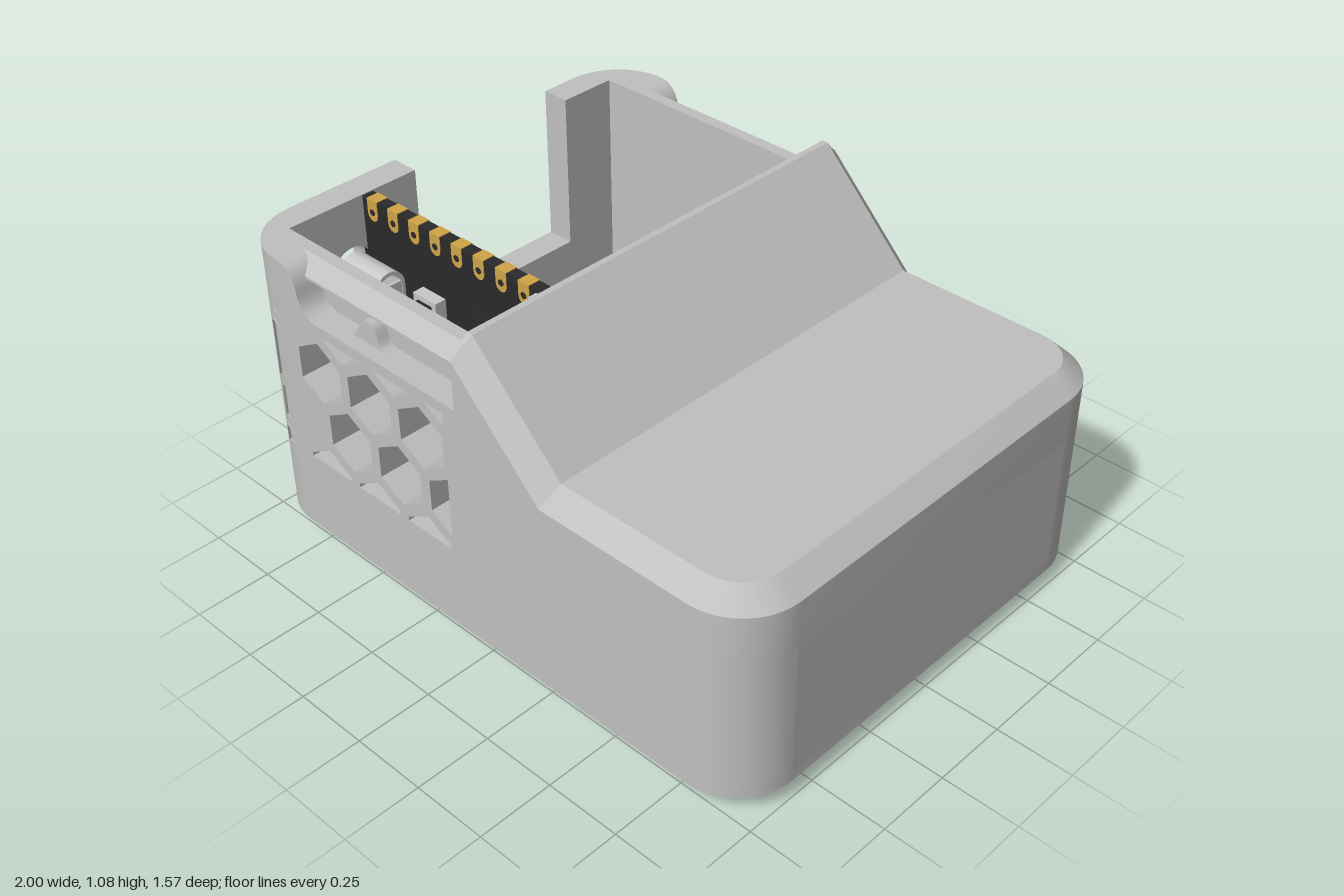
import * as THREE from 'three';
import { toCreasedNormals } from 'three/addons/utils/BufferGeometryUtils.js';

const material = (name, color) => {
  const m = new THREE.MeshStandardMaterial({ color, side: THREE.DoubleSide });
  m.name = name;
  return m;
};
const shapeOf = (pts) => new THREE.Shape(pts.map(([x, y]) => new THREE.Vector2(x, y)));
const extrude = (shape, depth) =>
  toCreasedNormals(new THREE.ExtrudeGeometry(shape, { depth, bevelEnabled: false, curveSegments: 12 }), 0.5);

// Outer size, corner radius, inner cavity and main heights
const X = 1, Z = 0.787, R = 0.2, IX = 0.905, IZ = 0.655;
const SEAM = 0.55, TOP = 1.013, LEDGE = 0.86, CH = 0.065, STEPS = 10;

// Skins equal-length loops of points; extra quads (indices into all points) close the ends
function loft(loops, quads) {
  const n = loops[0].length, index = [];
  const quad = (a, b, c, d) => index.push(a, b, c, a, c, d);
  for (let i = 0; i < loops.length - 1; i++)
    for (let j = 0; j < n; j++) {
      const k = (j + 1) % n;
      quad(i * n + j, i * n + k, (i + 1) * n + k, (i + 1) * n + j);
    }
  quads.forEach((q) => quad(...q));
  const g = new THREE.BufferGeometry();
  g.setAttribute('position', new THREE.Float32BufferAttribute(loops.flat(2), 3));
  g.setIndex(index);
  return toCreasedNormals(g.toNonIndexed(), 0.5);
}

// Rounded rectangle loop at height y, pulled in by inset
function footprint(inset, y) {
  const pts = [];
  [[1, 1], [-1, 1], [-1, -1], [1, -1]].forEach(([sx, sz], q) => {
    for (let i = 0; i <= STEPS; i++) {
      const a = (q + i / STEPS) * Math.PI / 2, r = R - inset;
      pts.push([sx * (X - R) + r * Math.cos(a), y, sz * (Z - R) + r * Math.sin(a)]);
    }
  });
  return pts;
}

// Clips a convex polygon to an upright rectangle
function clip(poly, x0, y0, x1, y1) {
  for (const [axis, lim, s] of [[0, x0, 1], [0, x1, -1], [1, y0, 1], [1, y1, -1]]) {
    const out = [];
    poly.forEach((p, i) => {
      const q = poly[(i + 1) % poly.length];
      const dp = s * (p[axis] - lim), dq = s * (q[axis] - lim);
      if (dp >= 0) out.push(p);
      if (dp * dq < 0) {
        const t = dp / (dp - dq);
        out.push([p[0] + (q[0] - p[0]) * t, p[1] + (q[1] - p[1]) * t]);
      }
    });
    poly = out;
  }
  return poly;
}

// Long wall with sloping shoulder, low ledge and curved post
function longWall(window) {
  const s = new THREE.Shape();
  s.moveTo(-0.8, CH);
  s.lineTo(0.8, CH);
  if (window) [[0.8, 0.36], [0.31, 0.36], [0.31, SEAM]].forEach((p) => s.lineTo(...p));
  else s.lineTo(0.8, SEAM);
  s.lineTo(0.26, SEAM);
  s.lineTo(-0.05, LEDGE);
  s.lineTo(-0.64, LEDGE);
  s.quadraticCurveTo(-0.7, LEDGE, -0.715, 0.93);
  s.quadraticCurveTo(-0.73, TOP, -0.8, TOP);
  return s;
}

function addHoneycomb(shape) {
  const pitch = 0.222, r = 0.106;
  for (let row = 0; row < 4; row++)
    for (let col = 0; col < 6; col++) {
      const cx = -0.979 + col * pitch + (row % 2 ? 0 : pitch / 2), cy = 0.305 + row * 0.192;
      const hex = [...Array(6).keys()].map((i) => {
        const a = (i + 0.5) * Math.PI / 3;
        return [cx + r * Math.cos(a), cy + r * Math.sin(a)];
      });
      const cut = clip(hex, -0.855, 0.345, -0.1, 0.825);
      if (cut.length > 2) shape.holes.push(shapeOf(cut));
    }
}

// Lid: cross-sections running along x, rounded at the far end
function lidGeometry() {
  const station = (xo, w, xt, wt, part, edge, top, ceil, xp = xo) => {
    const xi = Math.min(xp, IX), wi = Math.min(IZ, w - 0.03);
    const half = [[xp, part, w], [xo, edge, w], [xt, top, wt]];
    const inner = [[xi, part, wi], [xi, ceil, wi]];
    const flip = ([x, y, z]) => [x, y, -z];
    return [...half, ...half.map(flip).reverse(), ...inner.map(flip), ...[...inner].reverse()];
  };
  const loops = [
    station(-0.05, Z, -0.05, Z - CH, 0.86, 1.02, 1.08, 0.93),
    station(-0.03, Z, -0.03, Z - CH, 0.84, 1.0, 1.08, 0.91),
    station(0.27, Z, 0.29, Z - CH, SEAM, 0.7, 0.76, 0.63, 0.26),
  ];
  for (let i = 0; i <= STEPS; i++) {
    const a = i / STEPS * Math.PI / 2, c = Math.cos(a), s = Math.sin(a), r = R - CH;
    loops.push(station(0.8 + R * s, Z - R + R * c, 0.8 + r * s, Z - R + r * c, SEAM, 0.7, 0.76, 0.63));
  }
  const e = (loops.length - 1) * 10;
  return loft(loops, [
    [0, 1, 8, 9], [1, 2, 8, 8], [2, 3, 7, 8], [3, 4, 7, 7], [4, 5, 6, 7],
    [e, e + 1, e + 4, e + 5], [e + 1, e + 2, e + 3, e + 4], [e + 6, e + 7, e + 8, e + 9], [e + 5, e + 6, e + 9, e],
  ]);
}

export function createModel() {
  const model = new THREE.Group();
  model.name = 'electronicsCase';
  const grey = material('grey plastic', 0xc0c0c0), black = material('black board', 0x2a2a2a);
  const gold = material('gold pads', 0xd0a548), silver = material('silver metal', 0xc8c8c8);
  const add = (name, geo, mat, x = 0, y = 0, z = 0) => {
    const m = new THREE.Mesh(geo, mat);
    m.name = name;
    m.position.set(x, y, z);
    model.add(m);
    return m;
  };
  const box = (name, mat, w, h, d, x, y, z) => add(name, new THREE.BoxGeometry(w, h, d), mat, x, y, z);

  // Floor with chamfered underside
  const n = 4 * (STEPS + 1), caps = [];
  for (const o of [0, 2 * n])
    for (let i = 0; i < n / 2 - 1; i++) caps.push([o + i, o + i + 1, o + n - 2 - i, o + n - 1 - i]);
  add('floor', loft([footprint(CH, 0), footprint(0, CH), footprint(0, 0.1)], caps), grey);

  // Front and back walls
  const front = longWall(false);
  addHoneycomb(front);
  add('frontWall', extrude(front, Z - IZ), grey, 0, 0, IZ);
  add('backWall', extrude(longWall(true), Z - IZ), grey, 0, 0, -Z);

  // Rounded corner posts
  for (const sx of [-1, 1])
    for (const sz of [-1, 1]) {
      const pts = [[0.8, IZ], [IX, IZ], [IX, Z - R]];
      for (let i = 0; i <= STEPS; i++) {
        const a = i / STEPS * Math.PI / 2;
        pts.push([0.8 + R * Math.cos(a), Z - R + R * Math.sin(a)]);
      }
      const g = extrude(shapeOf(pts.map(([x, z]) => [sx * x, -sz * z])), (sx < 0 ? TOP : SEAM) - CH);
      add('cornerPost', g.rotateX(-Math.PI / 2), grey, 0, CH, 0);
    }

  // Short walls: plain one, and one with a notch and connector slot
  const w = Z - R;
  box('shortWall', grey, X - IX, SEAM - CH, 2 * w, (X + IX) / 2, (SEAM + CH) / 2, 0);
  const notched = shapeOf([[-w, CH], [w, CH], [w, TOP], [0.18, TOP], [0.18, 0.48], [-0.455, 0.48], [-0.455, TOP], [-w, TOP]]);
  const slot = new THREE.Path();
  slot.absarc(0.443, 0.78, 0.073, 0, Math.PI, false);
  slot.absarc(0.443, 0.56, 0.073, Math.PI, 2 * Math.PI, false);
  notched.holes.push(slot);
  add('notchedWall', extrude(notched, X - IX).rotateY(-Math.PI / 2), grey, -IX, 0, 0);

  // Sliding rails with a small detent
  for (const s of [-1, 1]) {
    const rail = [[IZ, LEDGE], [0.7, LEDGE], [0.7, 0.92], [0.743, 0.96], [0.743, 0.968], [0.695, TOP], [IZ, TOP]];
    add('rail', extrude(shapeOf(rail.map(([z, y]) => [s * z, y])), 0.75).rotateY(-Math.PI / 2), grey, -0.05, 0, 0);
    const bump = new THREE.Shape();
    bump.moveTo(-0.08, 0);
    bump.bezierCurveTo(-0.03, 0, -0.05, 0.075, 0, 0.075);
    bump.bezierCurveTo(0.05, 0.075, 0.03, 0, 0.08, 0);
    add('detent', extrude(bump, 0.04), grey, -0.46, LEDGE, s > 0 ? 0.7 : -0.74);
  }

  add('lid', lidGeometry(), grey);

  // Circuit board with a row of pads along both long edges
  const by = 0.67, bz = 0.365, face = 0.385;
  box('circuitBoard', black, 0.84, 0.68, 0.04, -0.5, by, bz);
  for (const s of [-1, 1])
    for (let i = 0; i < 8; i++) {
      const x = -0.86 + i * 0.0943;
      box('pad', gold, 0.045, 0.05, 0.044, x, by + s * 0.317, bz);
      add('padEnd', new THREE.CylinderGeometry(0.0225, 0.0225, 0.044, 12).rotateX(Math.PI / 2), gold, x, by + s * 0.292, bz);
      add('padHole', new THREE.CylinderGeometry(0.011, 0.011, 0.047, 10).rotateX(Math.PI / 2), black, x, by + s * 0.3, bz);
    }

  // Connector shell: a rounded tube open towards the slot
  const port = new THREE.Shape(), bore = new THREE.Path();
  for (const [path, r] of [[port, 0.057], [bore, 0.045]]) {
    path.absarc(0.443, by + 0.11, r, 0, Math.PI, false);
    path.absarc(0.443, by - 0.11, r, Math.PI, 2 * Math.PI, false);
  }
  port.holes.push(bore);
  add('connector', extrude(port, 0.17).rotateY(-Math.PI / 2), silver, -0.735, 0, 0);
  box('connectorBack', silver, 0.01, 0.24, 0.1, -0.742, by, 0.443);
  box('connectorTongue', black, 0.11, 0.2, 0.025, -0.8, by, 0.443);

  // Main chip, buttons and small parts
  const chip = box('mainChip', black, 0.19, 0.19, 0.035, -0.4, 0.71, face + 0.0175);
  chip.rotation.z = Math.PI / 4;
  for (const y of [0.76, 0.58]) {
    box('buttonBody', silver, 0.1, 0.08, 0.04, -0.6, y, face + 0.02);
    box('buttonCap', black, 0.06, 0.045, 0.075, -0.6, y, face + 0.0375);
    box('buttonTab', gold, 0.09, 0.045, 0.012, -0.6, y - 0.08, face + 0.006);
  }
  box('crystal', silver, 0.075, 0.1, 0.03, -0.28, 0.5, face + 0.015);
  box('regulator', black, 0.06, 0.1, 0.04, -0.47, 0.5, face + 0.02);
  box('antenna', silver, 0.06, 0.16, 0.03, -0.12, 0.92, face + 0.015);
  return model;
}
